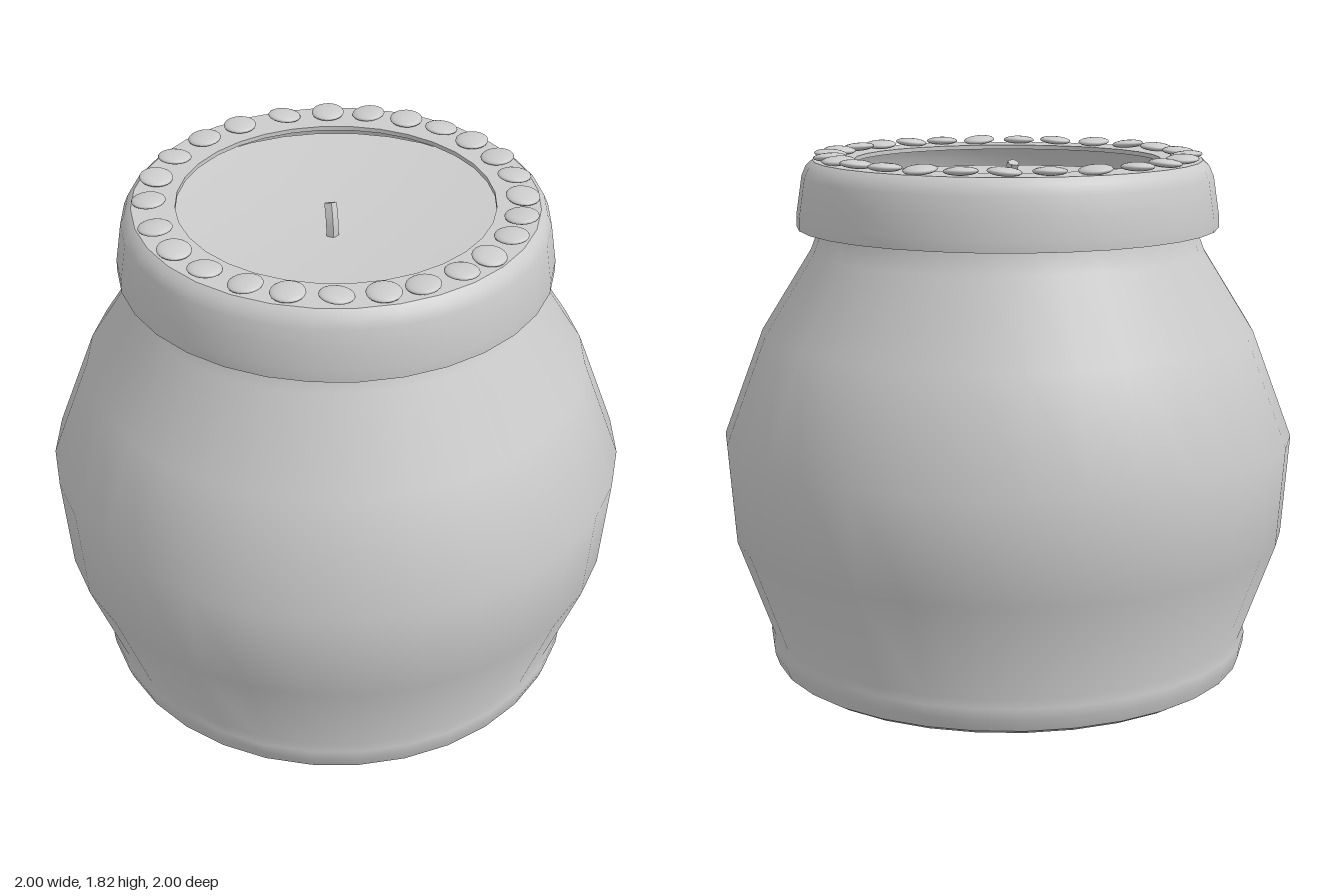
import * as THREE from 'three';
import { toCreasedNormals } from 'three/addons/utils/BufferGeometryUtils.js';

const SIDES = 32;
const grey = new THREE.MeshStandardMaterial({ color: 0xcccccc });

// Revolved part with smooth sides and crisp edges
function turned(name, profile, crease = 0.65) {
  const points = profile.map(([r, y]) => new THREE.Vector2(r, y));
  const geometry = toCreasedNormals(new THREE.LatheGeometry(points, SIDES), crease);
  const mesh = new THREE.Mesh(geometry, grey);
  mesh.name = name;
  return mesh;
}

export function createModel() {
  const model = new THREE.Group();
  model.name = 'candleJar';

  // Bulging jar with a rounded foot, its neck running up inside the lid
  model.add(turned('jarBody', [
    [0, 0], [0.81, 0], [0.838, 0.017], [0.853, 0.06], [0.857, 0.1], [0.85, 0.13],
    [0.975, 0.48], [1, 0.83], [0.86, 1.2], [0.685, 1.48], [0.655, 1.56], [0.64, 1.72],
  ]));

  // Hollow lid ring: outer skirt, flat top, then back down the inside
  model.add(turned('lidRing', [
    [0.72, 1.56], [0.733, 1.56], [0.733, 1.6], [0.722, 1.67], [0.712, 1.735],
    [0.697, 1.77], [0.675, 1.79], [0.53, 1.79], [0.53, 1.775], [0.665, 1.77],
    [0.69, 1.73], [0.71, 1.65], [0.72, 1.56],
  ]));

  // Slightly dished wax surface below the lid opening
  model.add(turned('wax', [
    [0.645, 1.705], [0.5, 1.69], [0.25, 1.675], [0, 1.67],
  ]));

  // Short bent wick
  const wickPath = new THREE.CatmullRomCurve3([
    new THREE.Vector3(-0.01, 1.66, 0.025),
    new THREE.Vector3(-0.012, 1.72, 0.02),
    new THREE.Vector3(-0.02, 1.775, -0.005),
  ]);
  const wick = new THREE.Group();
  wick.name = 'wick';
  const stem = new THREE.Mesh(
    toCreasedNormals(new THREE.TubeGeometry(wickPath, 4, 0.022, 5), 0.6), grey);
  stem.name = 'wickStem';
  const tip = new THREE.Mesh(new THREE.CircleGeometry(0.022, 5), grey);
  tip.name = 'wickTip';
  tip.position.copy(wickPath.getPoint(1));
  tip.lookAt(tip.position.clone().add(wickPath.getTangent(1)));
  wick.add(stem, tip);
  model.add(wick);

  // Hand-placed flattened beads around the lid, unevenly spaced (degrees)
  const angles = [
    85, 72, 59, 46, 32.5, 19.5, 6, -6.5, -19, -33, -45, -58.5, -70.5, -84, -98, -111,
    -125.5, -140, -154.5, -171.5, 173.5, 159, 143.5, 129, 113, 98.5,
  ];
  const beadGeometry = new THREE.SphereGeometry(0.057, 20, 12);
  const beads = new THREE.Group();
  beads.name = 'lidBeads';
  angles.forEach((degrees, i) => {
    const a = THREE.MathUtils.degToRad(degrees);
    const bead = new THREE.Mesh(beadGeometry, grey);
    bead.name = 'bead';
    bead.scale.y = 0.26;
    bead.position.set(0.616 * Math.cos(a), 1.803, -0.616 * Math.sin(a));
    bead.rotation.set(0.08 * Math.sin(i * 2.3), 0, 0.08 * Math.cos(i * 1.7));
    beads.add(bead);
  });
  model.add(beads);

  return model;
}
